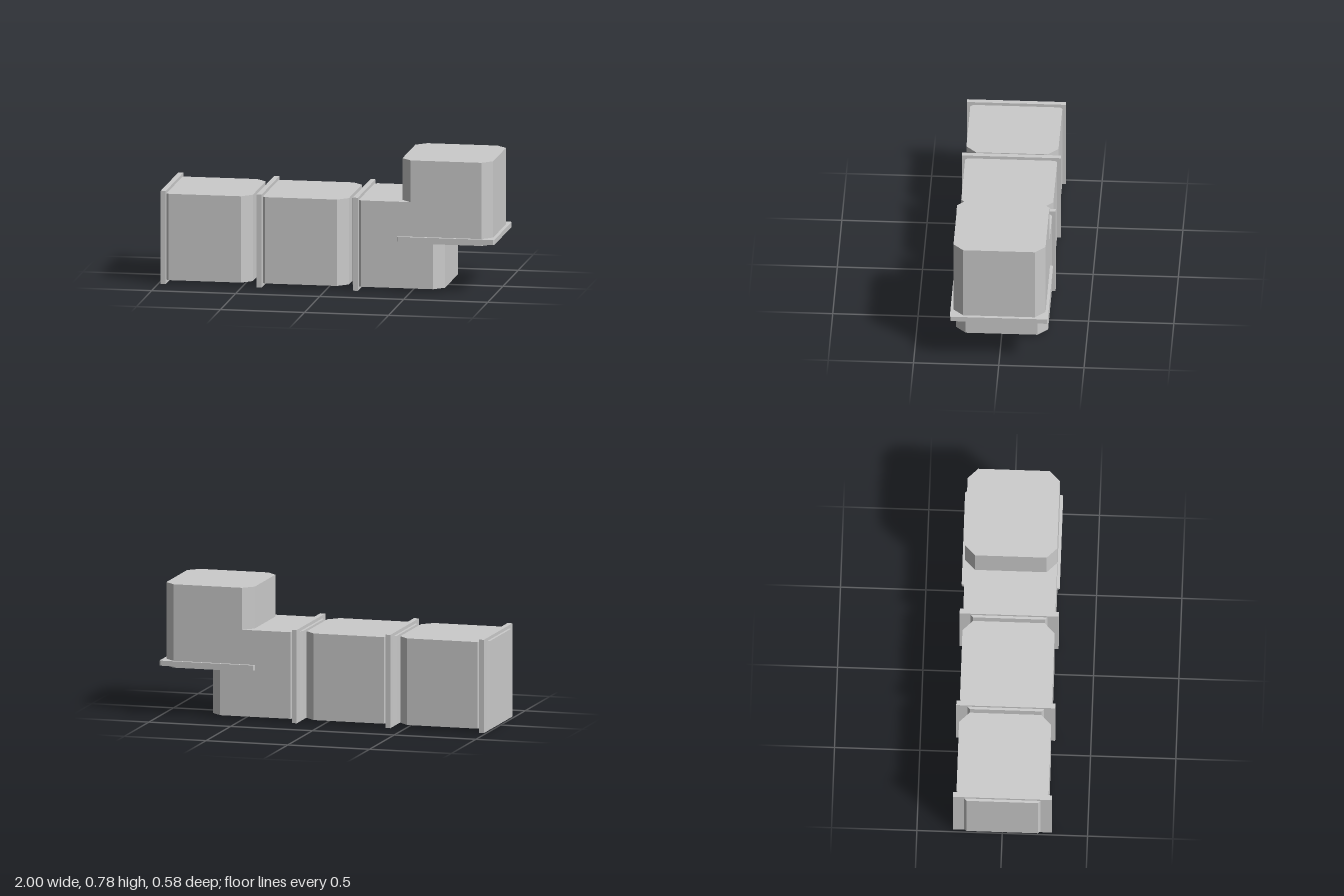
import * as THREE from 'three';

const material = new THREE.MeshStandardMaterial({ color: 0xcccccc, flatShading: true });

// Upright block with its four vertical edges bevelled; y0 is its underside
function bevelledBlock(name, w, h, d, bevel, x, y0) {
  const a = w / 2, b = d / 2, c = bevel;
  const shape = new THREE.Shape([
    [-a + c, -b], [a - c, -b], [a, -b + c], [a, b - c],
    [a - c, b], [-a + c, b], [-a, b - c], [-a, -b + c],
  ].map(([px, py]) => new THREE.Vector2(px, py)));
  const geometry = new THREE.ExtrudeGeometry(shape, { depth: h, bevelEnabled: false });
  geometry.rotateX(-Math.PI / 2);
  const mesh = new THREE.Mesh(geometry, material);
  mesh.name = name;
  mesh.position.set(x, y0, 0);
  return mesh;
}

export function createModel() {
  const model = new THREE.Group();
  model.name = 'crateRow';

  // Three crates lying in a row, each with a lid rim near its left-hand end
  for (let i = 0; i < 3; i++) {
    const x = -0.725 + i * 0.572;
    const crate = new THREE.Group();
    crate.name = `lyingCrate${i + 1}`;
    crate.add(bevelledBlock('crateBody', 0.55, 0.515, 0.54, 0.06, x, 0.021));
    const rim = new THREE.Mesh(new THREE.BoxGeometry(0.03, 0.555, 0.58), material);
    rim.name = 'crateRim';
    rim.position.set(x - 0.245, 0.2775, 0);
    crate.add(rim);
    model.add(crate);
  }

  // Upright crate overlapping the last one, with a flat rim near its underside
  const upright = new THREE.Group();
  upright.name = 'uprightCrate';
  upright.add(bevelledBlock('crateBody', 0.54, 0.496, 0.54, 0.06, 0.71, 0.289));
  upright.add(bevelledBlock('crateRim', 0.58, 0.03, 0.575, 0.006, 0.71, 0.3));
  model.add(upright);

  return model;
}
